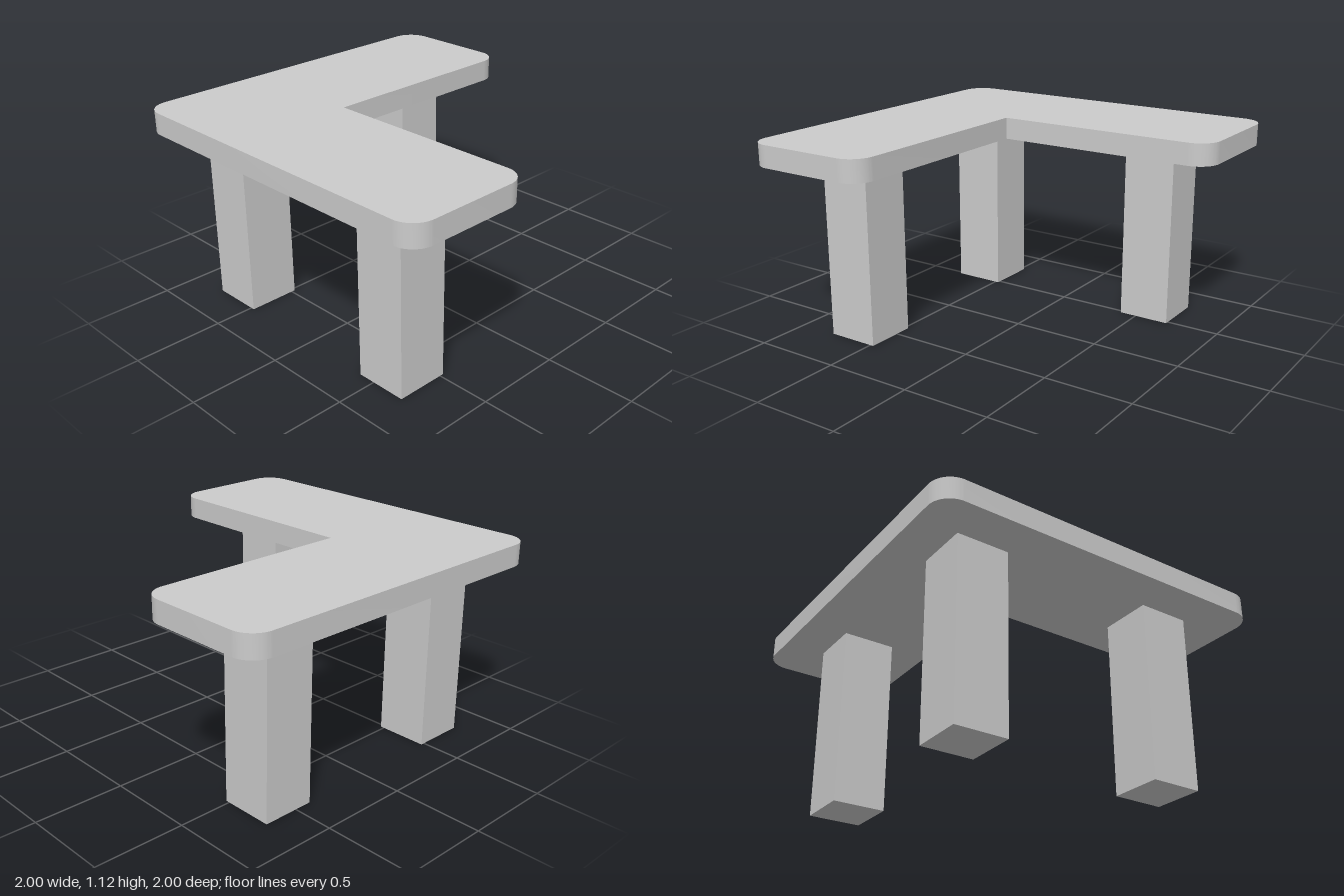
import * as THREE from 'three';
import { toCreasedNormals } from 'three/addons/utils/BufferGeometryUtils.js';

const TOP = 1.122, UNDERSIDE = 1.0;
const INNER = -0.255; // inner edge of both arms
const RADIUS = 0.125;
const LEG = 0.294;

// L-shaped outline in x and z: outer corners rounded, inner corner sharp
function outline() {
  const r = RADIUS, s = new THREE.Shape();
  s.moveTo(-1 + r, -1);
  s.lineTo(1 - r, -1);
  s.absarc(1 - r, -1 + r, r, -Math.PI / 2, 0);
  s.lineTo(1, INNER - r);
  s.absarc(1 - r, INNER - r, r, 0, Math.PI / 2);
  s.lineTo(INNER, INNER);
  s.lineTo(INNER, 1 - r);
  s.absarc(INNER - r, 1 - r, r, 0, Math.PI / 2);
  s.lineTo(-1 + r, 1);
  s.absarc(-1 + r, 1 - r, r, Math.PI / 2, Math.PI);
  s.lineTo(-1, -1 + r);
  s.absarc(-1 + r, -1 + r, r, Math.PI, Math.PI * 1.5);
  return s;
}

export function createModel() {
  const group = new THREE.Group();
  group.name = 'cornerTable';
  const material = new THREE.MeshStandardMaterial({ color: 0xcccccc });

  // Table top, extruded downwards from its upper face
  const slab = new THREE.ExtrudeGeometry(outline(), {
    depth: TOP - UNDERSIDE, bevelEnabled: false, curveSegments: 12,
  });
  slab.rotateX(Math.PI / 2).translate(0, TOP, 0);
  const top = new THREE.Mesh(toCreasedNormals(slab, 0.6), material);
  top.name = 'tableTop';
  group.add(top);

  // Square legs: one at the corner, one under each arm
  const legGeometry = new THREE.BoxGeometry(LEG, UNDERSIDE, LEG);
  const legs = { cornerLeg: [-0.626, -0.626], leftLeg: [0.55, -0.626], frontLeg: [-0.626, 0.55] };
  for (const [name, [x, z]] of Object.entries(legs)) {
    const leg = new THREE.Mesh(legGeometry, material);
    leg.name = name;
    leg.position.set(x, UNDERSIDE / 2, z);
    group.add(leg);
  }
  return group;
}
